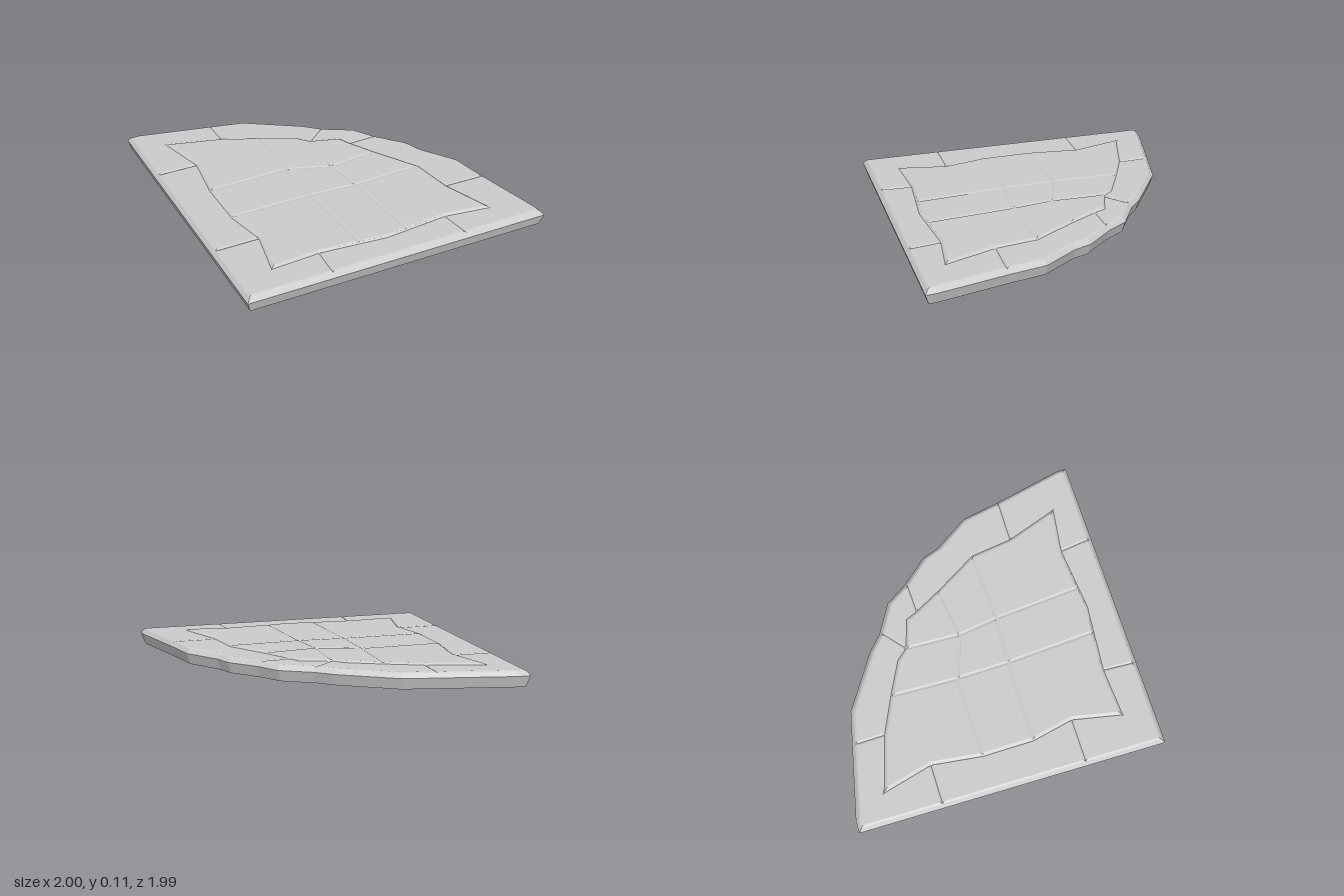
import * as THREE from 'three';

// Matching outlines (x, z): the rim of the slab and the raised centre panel
const RIM = [
  [-1, -1], [-0.92, -1], [-0.45, -0.895], [-0.23, -0.845], [0.12, -0.62], [0.22, -0.53],
  [0.41, -0.42], [0.5, -0.28], [0.65, -0.11], [0.69, 0], [0.84, 0.22], [0.89, 0.47],
  [0.995, 0.92], [1, 0.99], [0.45, 0.99], [0, 0.99], [-0.45, 0.99], [-1, 0.99],
  [-1, 0.47], [-1, 0.2], [-1, -0.13], [-1, -0.46],
];
const PANEL = [
  [-0.8, -0.78], [-0.77, -0.765], [-0.45, -0.675], [-0.22, -0.57], [0, -0.46], [0.06, -0.39],
  [0.25, -0.33], [0.28, -0.26], [0.38, -0.08], [0.44, 0.02], [0.55, 0.2], [0.59, 0.47],
  [0.69, 0.75], [0.71, 0.8], [0.42, 0.76], [0, 0.8], [-0.44, 0.76], [-0.75, 0.78],
  [-0.69, 0.47], [-0.75, 0.2], [-0.755, -0.13], [-0.715, -0.46],
];

const area = (p) => p.reduce((s, [x, z], i) => {
  const [u, v] = p[(i + 1) % p.length];
  return s + x * v - u * z;
}, 0);

// Move each edge of a polygon inwards by d, with limited mitres
function inset(poly, d) {
  const n = poly.length;
  const normal = (a, b) => {
    const dx = b[0] - a[0], dz = b[1] - a[1], l = Math.hypot(dx, dz);
    return [-dz / l, dx / l];
  };
  return poly.map((p, i) => {
    const a = normal(poly[(i + n - 1) % n], p), b = normal(p, poly[(i + 1) % n]);
    const k = d / Math.max(0.35, 1 + a[0] * b[0] + a[1] * b[1]);
    return [p[0] + (a[0] + b[0]) * k, p[1] + (a[1] + b[1]) * k];
  });
}

// Loft a polygon through [inset, height] levels and cap it
function slab(name, points, levels, material, closedBelow = false) {
  const poly = area(points) > 0 ? points : [...points].reverse();
  const n = poly.length, pos = [], index = [];
  const rings = levels.map(([d]) => inset(poly, d));
  rings.forEach((r, k) => r.forEach(([x, z]) => pos.push(x, levels[k][1], z)));
  for (let k = 0; k < rings.length - 1; k++) {
    for (let i = 0; i < n; i++) {
      const j = (i + 1) % n, a = k * n + i, b = k * n + j;
      index.push(a, a + n, b + n, a, b + n, b);
    }
  }
  const cap = (k, up) => {
    const ring = rings[k];
    const tris = THREE.ShapeUtils.triangulateShape(ring.map(([x, z]) => new THREE.Vector2(x, z)), []);
    for (const [a, b, c] of tris) {
      const ccw = area([ring[a], ring[b], ring[c]]) > 0;
      index.push(...(ccw === up ? [a, c, b] : [a, b, c]).map((v) => v + k * n));
    }
  };
  cap(rings.length - 1, true);
  if (closedBelow) cap(0, false);
  const geometry = new THREE.BufferGeometry();
  geometry.setAttribute('position', new THREE.Float32BufferAttribute(pos, 3));
  geometry.setIndex(index);
  geometry.computeVertexNormals();
  const mesh = new THREE.Mesh(geometry, material);
  mesh.name = name;
  return mesh;
}

export function createModel() {
  const group = new THREE.Group();
  group.name = 'quarterRoundFloorSlab';
  const stone = new THREE.MeshStandardMaterial({ color: 0xcccccc, flatShading: true });

  // Body: undercut below, widest at mid height, bevelled above
  group.add(slab('slabBody', RIM, [[0.022, 0.004], [0, 0.075], [0.022, 0.102]], stone, true));

  // Border stones, separated by shallow joints
  const border = new THREE.Group();
  border.name = 'borderStones';
  const edge = inset(RIM, 0.022);
  const n = RIM.length;
  const joints = [2, 5, 7, 11, 14, 16, 18, 21];
  joints.forEach((start, k) => {
    let end = joints[(k + 1) % joints.length];
    if (end < start) end += n;
    const outer = [], inner = [];
    for (let i = start; i <= end; i++) {
      outer.push(edge[i % n]);
      inner.unshift(PANEL[i % n]);
    }
    border.add(slab('borderStone', [...outer, ...inner], [[0, 0.102], [0.012, 0.108]], stone));
  });
  group.add(border);

  // Raised centre panel with a sloping edge
  group.add(slab('panelBase', PANEL, [[-0.012, 0.102], [0.004, 0.114]], stone));

  // Paving stones on the panel; numbers refer to the panel outline
  const A = [-0.23, -0.14], B = [0.05, -0.04], C = [-0.22, 0.2], D = [0.09, 0.22];
  const E = [-0.18, 0.783], F = [0.14, 0.786];
  const cells = [
    [20, 21, 0, 1, 2, 3, A], [3, 4, 5, B, A], [5, 6, 7, 8, B],
    [19, 20, A, C], [A, B, D, C], [8, 9, 10, D, B],
    [16, 17, 18, 19, C, E], [C, D, F, 15, E], [D, 10, 11, 12, 13, 14, F],
  ];
  const paving = new THREE.Group();
  paving.name = 'pavingStones';
  for (const cell of cells) {
    const points = cell.map((c) => (Array.isArray(c) ? c : PANEL[c]));
    paving.add(slab('pavingStone', points, [[0.004, 0.114], [0.013, 0.118]], stone));
  }
  group.add(paving);
  return group;
}
